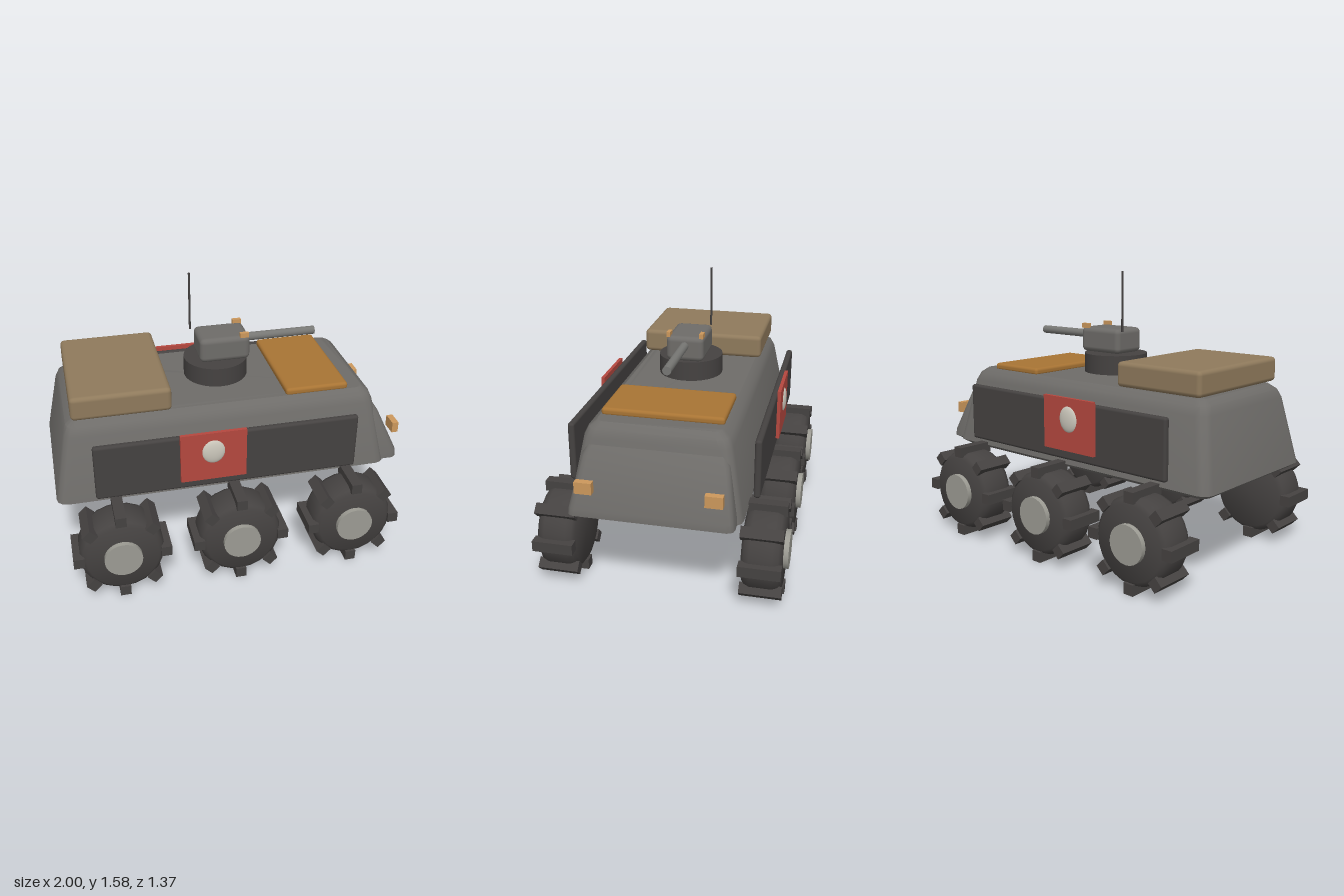
import * as THREE from 'three';
import { toCreasedNormals } from 'three/addons/utils/BufferGeometryUtils.js';
import { RoundedBoxGeometry } from 'three/addons/geometries/RoundedBoxGeometry.js';

const mat = (name, color) => {
  const m = new THREE.MeshStandardMaterial({ color });
  m.name = name;
  return m;
};
const M = {
  armour: mat('armour grey', 0x6e6c69),
  dark: mat('dark rubber', 0x454241),
  metal: mat('barrel metal', 0x777774),
  hub: mat('hub grey', 0x9c9b93),
  tan: mat('cargo tan', 0x8f7a5c),
  hatch: mat('hatch ochre', 0xa87434),
  lamp: mat('lamp amber', 0xcc985c),
  red: mat('flag red', 0xb5483f),
  emblem: mat('emblem cream', 0xcdc9bd),
};

function add(parent, name, geo, material, x = 0, y = 0, z = 0) {
  const mesh = new THREE.Mesh(geo, material);
  mesh.name = name;
  mesh.position.set(x, y, z);
  parent.add(mesh);
  return mesh;
}

// Box given by its extents; r > 0 rounds the edges
function block(parent, name, material, [x0, x1], [y0, y1], [z0, z1], r = 0) {
  const s = [x1 - x0, y1 - y0, z1 - z0];
  const geo = r ? new RoundedBoxGeometry(...s, 2, r) : new THREE.BoxGeometry(...s);
  return add(parent, name, geo, material, (x0 + x1) / 2, (y0 + y1) / 2, (z0 + z1) / 2);
}

// Stack of rounded rectangles, each level is [y, x0, x1, halfZ, cornerRadius]
function loft(levels) {
  const pos = [], idx = [], seg = 3, n = 4 * (seg + 1);
  for (const [y, x0, x1, hz, r] of levels) {
    for (let q = 0; q < 4; q++) {
      const cx = q === 0 || q === 3 ? x1 - r : x0 + r;
      const cz = q < 2 ? hz - r : r - hz;
      for (let s = 0; s <= seg; s++) {
        const a = (q + s / seg) * Math.PI / 2;
        pos.push(cx + r * Math.cos(a), y, cz + r * Math.sin(a));
      }
    }
  }
  for (let l = 0; l < levels.length - 1; l++) {
    for (let i = 0; i < n; i++) {
      const a = l * n + i, b = l * n + (i + 1) % n;
      idx.push(a, a + n, b, b, a + n, b + n);
    }
  }
  const top = (levels.length - 1) * n;
  for (let i = 1; i < n - 1; i++) {
    idx.push(0, i, i + 1, top, top + i + 1, top + i);
  }
  const geo = new THREE.BufferGeometry();
  geo.setAttribute('position', new THREE.Float32BufferAttribute(pos, 3));
  geo.setIndex(idx);
  return toCreasedNormals(geo, 0.6);
}

// Wheel facing +z: bevelled tyre, eight lugs and an outer hub
function makeWheel() {
  const wheel = new THREE.Group();
  wheel.name = 'wheel';
  const profile = [[0, -0.105], [0.2, -0.105], [0.222, -0.09], [0.235, -0.06],
    [0.235, 0.06], [0.222, 0.09], [0.2, 0.105], [0, 0.105]];
  const tyre = new THREE.LatheGeometry(profile.map(p => new THREE.Vector2(...p)), 24);
  tyre.rotateX(Math.PI / 2);
  add(wheel, 'tyre', toCreasedNormals(tyre, 0.7), M.dark);
  for (let i = 0; i < 8; i++) {
    const lug = new THREE.BoxGeometry(0.06, 0.06, 0.225);
    lug.translate(0, 0.24, 0);
    add(wheel, 'lug', lug, M.dark).rotation.z = i * Math.PI / 4;
  }
  const hub = new THREE.CylinderGeometry(0.105, 0.105, 0.04, 24).rotateX(Math.PI / 2);
  add(wheel, 'hub', hub, M.hub, 0, 0, 0.112);
  return wheel;
}

export function createModel() {
  const model = new THREE.Group();
  model.name = 'sixWheeledArmouredVehicle';

  // Tapered hull and sloping nose
  add(model, 'hull', loft([
    [0.5, -0.965, 0.865, 0.425, 0.05],
    [0.525, -1, 0.9, 0.462, 0.06],
    [0.9, -0.928, 0.828, 0.39, 0.06],
    [0.945, -0.91, 0.81, 0.37, 0.06],
    [0.975, -0.87, 0.77, 0.33, 0.04],
  ]), M.armour);
  add(model, 'nose', loft([
    [0.515, 0.78, 0.95, 0.41, 0.03],
    [0.53, 0.78, 0.985, 0.435, 0.04],
    [0.57, 0.78, 0.983, 0.43, 0.04],
    [0.82, 0.76, 0.868, 0.385, 0.04],
    [0.87, 0.76, 0.835, 0.36, 0.03],
  ]), M.armour);

  // Deck: cargo pack and front hatch
  block(model, 'cargoPack', M.tan, [-0.88, -0.335], [0.983, 1.12], [-0.365, 0.365], 0.025);
  block(model, 'frontHatch', M.hatch, [0.318, 0.682], [0.965, 1.01], [-0.328, 0.328], 0.018);

  // Turret with gun and antenna
  const turret = new THREE.Group();
  turret.name = 'turret';
  model.add(turret);
  add(turret, 'turretRing', new THREE.CylinderGeometry(0.183, 0.183, 0.11, 32), M.dark, -0.017, 1.05, 0);
  block(turret, 'turretHead', M.armour, [-0.125, 0.165], [1.108, 1.252], [-0.107, 0.107], 0.03);
  const barrel = new THREE.CylinderGeometry(0.024, 0.024, 0.44, 16).rotateZ(Math.PI / 2);
  add(turret, 'gunBarrel', barrel, M.metal, 0.353, 1.2, 0);
  add(turret, 'antenna', new THREE.CylinderGeometry(0.006, 0.006, 0.34, 8), M.dark, -0.145, 1.41, -0.092);

  // Parts mirrored on both sides
  for (const s of [1, -1]) {
    const span = (a, b) => s > 0 ? [a, b] : [-b, -a];
    block(model, 'sidePanel', M.dark, [-0.79, 0.682], [0.572, 0.902], span(0.483, 0.52), 0.015);
    block(model, 'flag', M.red, [-0.328, 0.037], [0.628, 0.922], span(0.52, 0.54));
    const emblem = add(model, 'emblem', new THREE.SphereGeometry(1, 24, 16), M.emblem, -0.147, 0.805, s * 0.535);
    emblem.scale.set(0.065, 0.074, 0.02);
    block(model, 'headlight', M.lamp, [0.96, 0.997], [0.668, 0.732], span(0.288, 0.38));
    block(model, 'turretLamp', M.lamp, [0.105, 0.155], [1.245, 1.273], span(0.083, 0.105));
    for (const x of [-0.68, -0.015, 0.648]) {
      const wheel = makeWheel();
      wheel.position.set(x, 0.272, s * 0.555);
      if (s < 0) wheel.rotation.y = Math.PI;
      model.add(wheel);
    }
  }
  return model;
}
